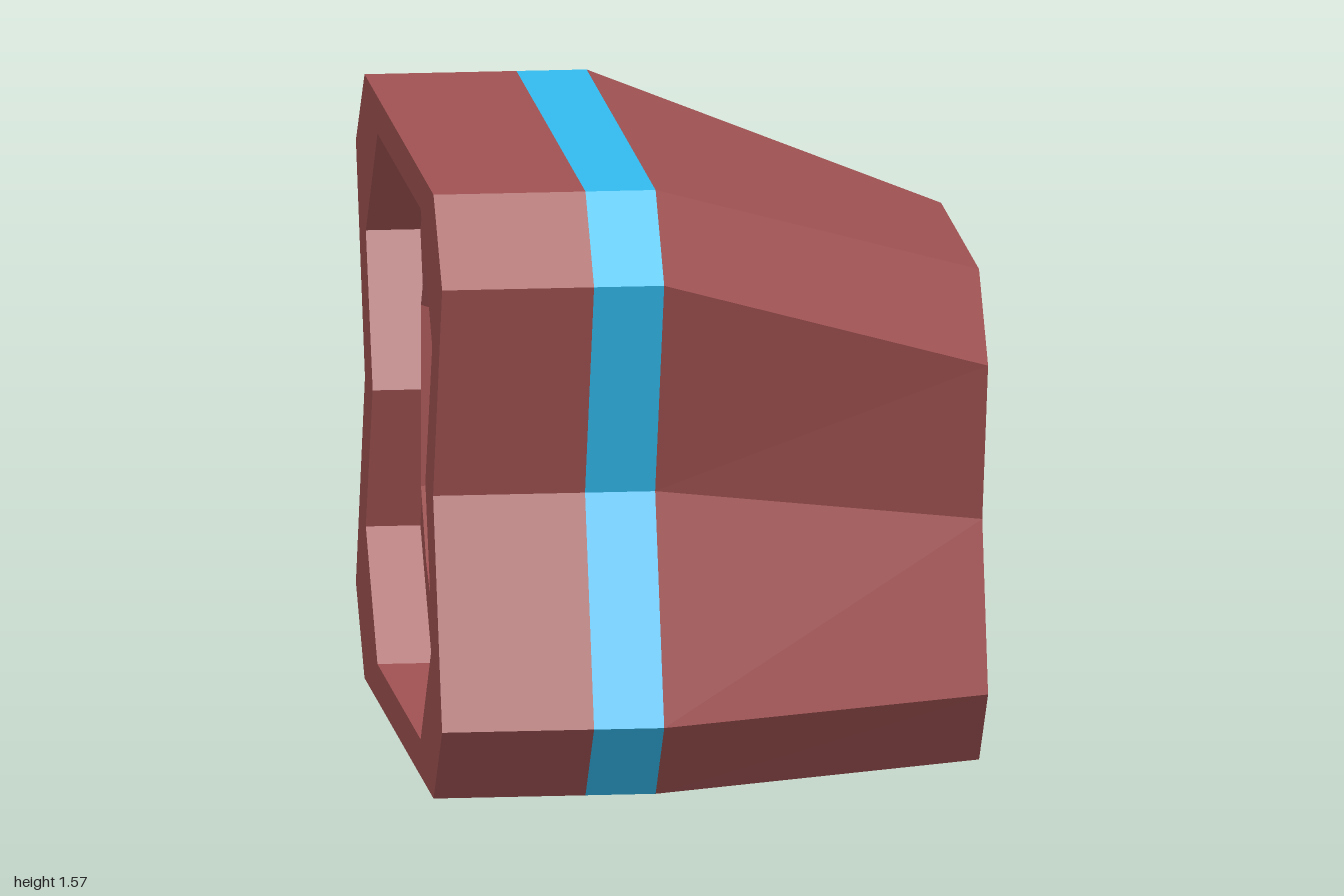
import * as THREE from 'three';

const mat = (color) => new THREE.MeshStandardMaterial({ color, flatShading: true, side: THREE.DoubleSide });
const MID = 0.785; // height of the central axis

// Full closed section from its right half, listed bottom to top as [z, y]
const mirrored = (half) => [...half, ...half.slice().reverse().map(([z, y]) => [-z, y])];

// Twelve-point loop with clipped corners, round the central axis
function clippedLoop(r) {
  const loop = [];
  for (let q = 0; q < 4; q++) {
    for (const deg of [24, 45, 66]) {
      const a = THREE.MathUtils.degToRad(q * 90 + deg);
      loop.push([r * Math.cos(a), MID + r * Math.sin(a)]);
    }
  }
  return loop;
}

// Band of quads joining loop a at xa to loop b at xb
function band(a, xa, b, xb) {
  const pos = [];
  a.forEach((_, i) => {
    const j = (i + 1) % a.length;
    const a0 = [xa, a[i][1], a[i][0]], a1 = [xa, a[j][1], a[j][0]];
    const b0 = [xb, b[i][1], b[i][0]], b1 = [xb, b[j][1], b[j][0]];
    pos.push(...a0, ...b0, ...b1, ...a0, ...b1, ...a1);
  });
  const g = new THREE.BufferGeometry();
  g.setAttribute('position', new THREE.Float32BufferAttribute(pos, 3));
  g.computeVertexNormals();
  return g;
}

// Flat plate across the x axis, facing +x (dir 1) or -x (dir -1)
function plate(loop, x, dir, hole) {
  const points = (l) => l.map(([z, y]) => new THREE.Vector2(z, y));
  const shape = new THREE.Shape(points(loop));
  if (hole) shape.holes.push(new THREE.Path(points(hole)));
  return new THREE.ShapeGeometry(shape).rotateY(dir * Math.PI / 2).translate(x, 0, 0);
}

export function createModel() {
  const group = new THREE.Group();
  const red = mat(0xa05252), blue = mat(0x33bbee);
  const add = (name, geometry, material) => {
    const mesh = new THREE.Mesh(geometry, material);
    mesh.name = name;
    group.add(mesh);
    return mesh;
  };

  const wide = mirrored([[0.8, 0], [1, 0.21], [0.79, MID], [1, 1.36], [0.8, 1.57]]);
  const narrow = mirrored([[0.44, 0], [0.65, 0.21], [0.515, 0.64], [0.65, 1.065], [0.44, 1.275]]);
  const recess = mirrored([[0.5, 0.095], [0.77, 0.4], [0.61, MID], [0.77, 1.17], [0.5, 1.475]]);
  const ringOuter = clippedLoop(0.64), ringInner = clippedLoop(0.58), bowl = clippedLoop(0.46);

  // Outer shell with its coloured stripe
  add('rearShell', band(wide, -0.72, wide, -0.33), red);
  add('stripe', band(wide, -0.33, wide, -0.15), blue);
  add('taperedShell', band(wide, -0.15, narrow, 0.72), red);
  add('endPlate', plate(narrow, 0.72, 1), red);

  // Recessed wide end
  add('rim', band(recess, -0.72, wide, -0.72), red);
  add('recessWall', band(recess, -0.58, recess, -0.72), red);
  add('recessFloor', plate(recess, -0.58, -1, ringOuter), red);

  // Raised ring, sloping bowl and central dome
  add('ring', band(ringInner, -0.605, ringOuter, -0.58), blue);
  add('bowlWall', band(bowl, -0.41, ringInner, -0.605), red);
  add('bowlFloor', plate(bowl, -0.41, -1), red);
  const domeGeometry = new THREE.SphereGeometry(0.22, 12, 5, 0, Math.PI * 2, 0, Math.PI / 2);
  domeGeometry.scale(1, 0.2, 1).rotateZ(Math.PI / 2);
  add('dome', domeGeometry, blue).position.set(-0.41, MID, 0);

  return group;
}
